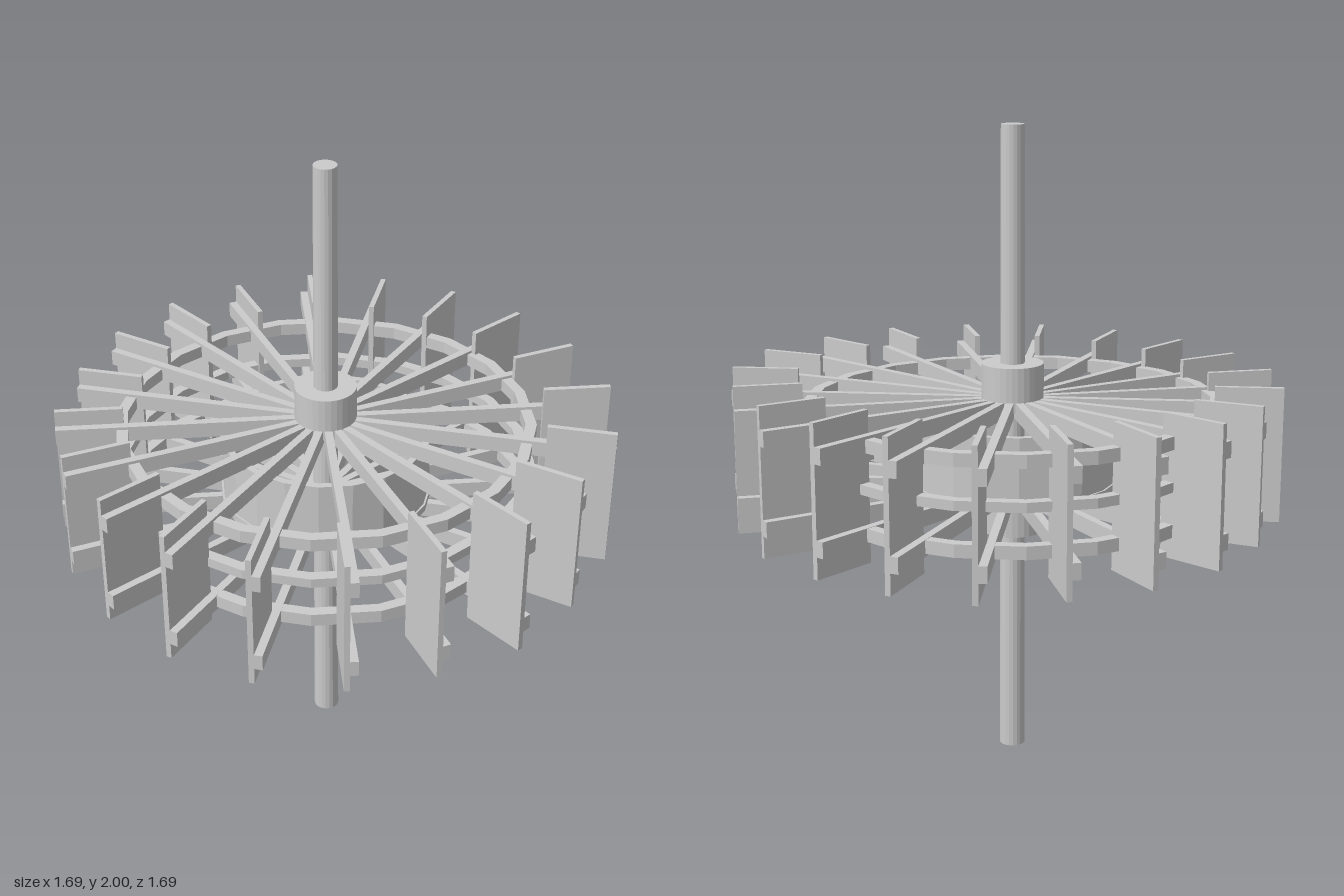
import * as THREE from 'three';

const MAT = new THREE.MeshStandardMaterial({ color: 0xcccccc, flatShading: true });
const MID = 1.0;          // height of the wheel's middle plane
const SPOKE_Y = 0.137;    // spoke layers sit this far above and below it
const COUNT = 20;

// Blade tip radii, one per spoke, turning from +x towards +z (hand-built, slightly uneven)
const TIPS = [0.86, 0.89, 0.90, 0.875, 0.88, 0.865, 0.87, 0.86, 0.85, 0.84,
  0.84, 0.835, 0.81, 0.815, 0.82, 0.815, 0.83, 0.815, 0.82, 0.84];

function add(parent, name, geometry, x = 0, y = 0, z = 0) {
  const mesh = new THREE.Mesh(geometry, MAT);
  mesh.name = name;
  mesh.position.set(x, y, z);
  parent.add(mesh);
  return mesh;
}

// Faceted hoop of rectangular section, its corners midway between the spokes
function hoop(inner, outer, height) {
  const h = height / 2;
  const profile = [[inner, -h], [outer, -h], [outer, h], [inner, h], [inner, -h]]
    .map(([x, y]) => new THREE.Vector2(x, y));
  return new THREE.LatheGeometry(profile, COUNT);
}

export function createModel() {
  const model = new THREE.Group();
  model.name = 'paddleWheel';
  const wheel = new THREE.Group();
  wheel.name = 'wheel';
  wheel.position.set(-0.01, 0, -0.031);
  model.add(wheel);

  // Upright axle, a little thicker at the foot
  add(wheel, 'axle', new THREE.CylinderGeometry(0.036, 0.041, 2, 20), 0, 1, 0);

  // Hubs and outer rims, mirrored above and below
  for (const side of [1, -1]) {
    add(wheel, 'hub', new THREE.CylinderGeometry(0.097, 0.097, 0.14, 32), 0, MID + side * 0.2, 0);
    add(wheel, 'outerRim', hoop(0.62, 0.655, 0.04), 0, MID + side * 0.133, 0);
    add(wheel, 'drumRim', hoop(0.312, 0.334, 0.024), 0, MID + side * 0.103, 0);
  }
  add(wheel, 'middleRim', hoop(0.62, 0.655, 0.03), 0, MID, 0);

  // Inner drum wall
  add(wheel, 'drum', hoop(0.314, 0.328, 0.2), 0, MID, 0);

  // Spokes in pairs, each pair carrying one upright blade
  TIPS.forEach((tip, i) => {
    const angle = ((i + 0.5) / COUNT) * Math.PI * 2;
    const arm = new THREE.Group();
    arm.name = 'arm';
    arm.position.y = MID;
    arm.rotation.y = -angle;
    wheel.add(arm);
    const start = 0.04;
    for (const side of [1, -1]) {
      add(arm, 'spoke', new THREE.BoxGeometry(tip - start, 0.05, 0.025),
        (tip + start) / 2, side * SPOKE_Y, 0);
    }
    const height = 0.444 + 0.02 * Math.cos(angle);
    add(arm, 'blade', new THREE.BoxGeometry(0.21, height, 0.017), tip - 0.105, 0, 0.021);
  });

  return model;
}
